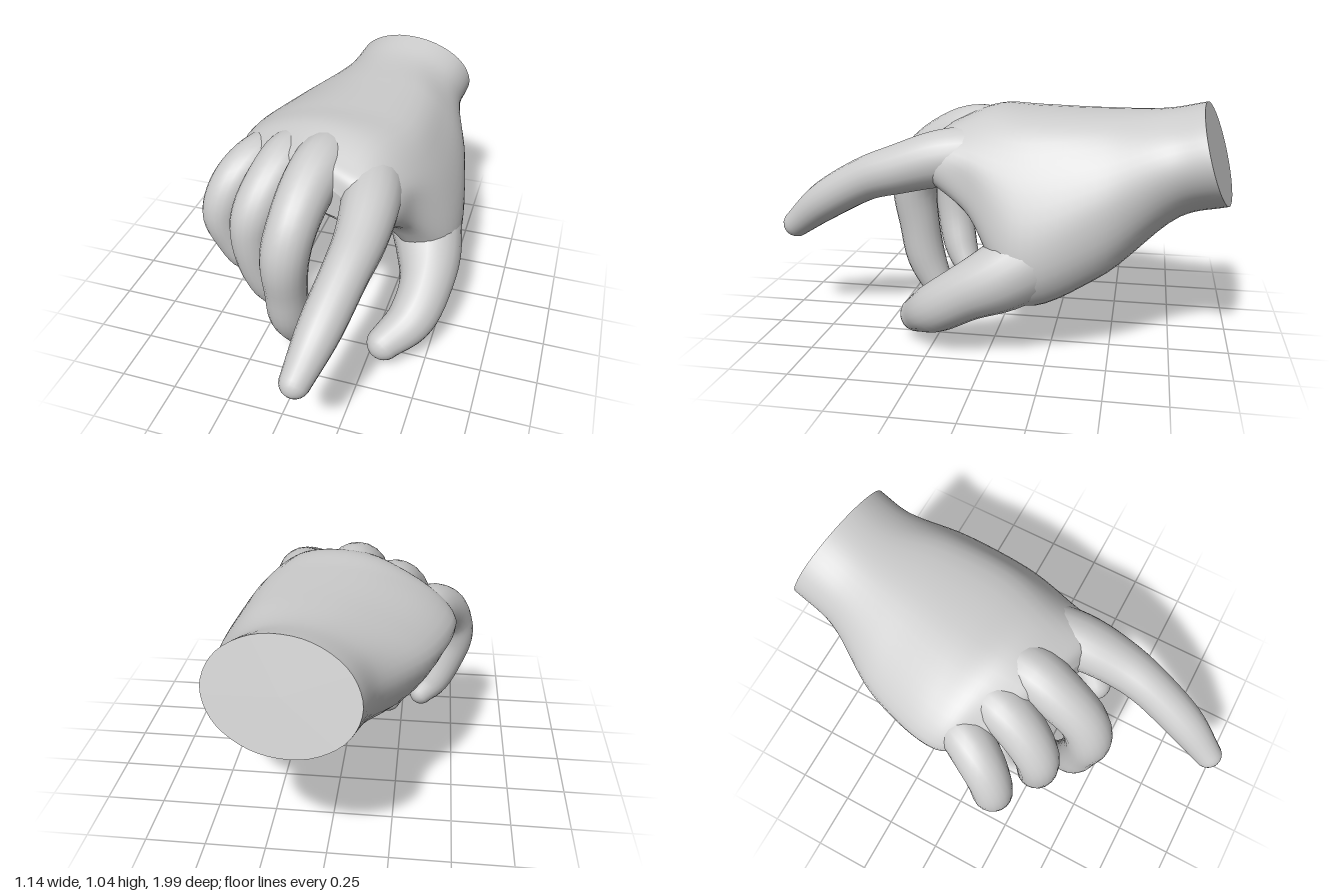
import * as THREE from 'three';

const skin = new THREE.MeshStandardMaterial({ color: 0xcccccc });
const X = new THREE.Vector3(1, 0, 0);

// Skin over a list of rings (each a loop of Vector3), with flat caps on both ends
function loft(name, rings) {
  const n = rings[0].length, last = rings.length - 1;
  const pos = [], index = [];
  rings.forEach(r => r.forEach(p => pos.push(p.x, p.y, p.z)));
  for (let i = 0; i < last; i++) {
    for (let j = 0; j < n; j++) {
      const a = i * n + j, b = i * n + (j + 1) % n;
      index.push(a, a + n, b, b, a + n, b + n);
    }
  }
  for (const end of [0, last]) {
    const start = pos.length / 3, c = new THREE.Vector3();
    rings[end].forEach(p => { c.addScaledVector(p, 1 / n); pos.push(p.x, p.y, p.z); });
    pos.push(c.x, c.y, c.z);
    for (let j = 0; j < n; j++) {
      const a = start + j, b = start + (j + 1) % n;
      if (end === 0) index.push(start + n, a, b);
      else index.push(start + n, b, a);
    }
  }
  const g = new THREE.BufferGeometry();
  g.setAttribute('position', new THREE.Float32BufferAttribute(pos, 3));
  g.setIndex(index);
  g.computeVertexNormals();
  const mesh = new THREE.Mesh(g, skin);
  mesh.name = name;
  return mesh;
}

// Rounded digit along joints given as [x, y, z, radius]
function digit(name, joints, sides = 20, steps = 28) {
  const path = new THREE.CatmullRomCurve3(joints.map(j => new THREE.Vector3(j[0], j[1], j[2])), false, 'catmullrom');
  const size = new THREE.CatmullRomCurve3(joints.map(j => new THREE.Vector3(j[3], 0, 0)), false, 'catmullrom');
  const rings = [];
  const ring = (c, t, r) => {
    const u = new THREE.Vector3().crossVectors(t, X).normalize();
    const v = new THREE.Vector3().crossVectors(u, t);
    rings.push(Array.from({ length: sides }, (_, k) => {
      const a = (k / sides) * Math.PI * 2;
      return c.clone().addScaledVector(u, r * Math.sin(a)).addScaledVector(v, -r * Math.cos(a));
    }));
  };
  for (let i = 0; i <= steps; i++) {
    const t = i / steps;
    ring(path.getPoint(t), path.getTangent(t), size.getPoint(t).x);
  }
  // Fingertip dome
  const tip = path.getPoint(1), dir = path.getTangent(1), r = size.getPoint(1).x;
  for (let k = 1; k <= 6; k++) {
    const a = (k / 6) * 1.53;
    ring(tip.clone().addScaledVector(dir, r * Math.sin(a)), dir, r * Math.cos(a));
  }
  return loft(name, rings);
}

// Cross-section from [x, y] points: starts at the little-finger side, goes over
// the back of the hand and returns under the palm; tilt and shear slant it in z
const section = (z, tilt, shear, pts) =>
  pts.map(([x, y]) => new THREE.Vector3(x, y, z + tilt * (y - 0.83) + shear * (x - 0.13)));

const oval = (cx, cy, rx, ry) => Array.from({ length: 10 }, (_, k) => {
  const a = Math.PI - (k / 10) * Math.PI * 2;
  return [cx + rx * Math.cos(a), cy + ry * Math.sin(a)];
});

function palm(sides = 48, steps = 48) {
  const wrist = section(-0.915, 0.3, 0.15, oval(0.13, 0.83, 0.29, 0.21));
  const narrow = section(-0.73, 0.2, 0.06, oval(0.1, 0.785, 0.305, 0.22));
  const heel = section(-0.45, 0, 0, [[-0.39, 0.74], [-0.28, 0.88], [-0.03, 0.985], [0.25, 0.975], [0.4, 0.85],
    [0.49, 0.66], [0.48, 0.46], [0.37, 0.35], [0.1, 0.45], [-0.25, 0.56]]);
  const thumbMound = section(-0.15, 0, 0.05, [[-0.47, 0.73], [-0.36, 0.88], [-0.08, 0.985], [0.25, 0.965], [0.41, 0.8],
    [0.52, 0.55], [0.53, 0.35], [0.42, 0.24], [0.24, 0.44], [-0.22, 0.6]]);
  const web = section(0.05, 0, 0.2, [[-0.47, 0.73], [-0.37, 0.87], [-0.1, 0.985], [0.18, 0.97], [0.34, 0.84],
    [0.38, 0.72], [0.37, 0.6], [0.27, 0.57], [0.05, 0.61], [-0.28, 0.64]]);
  const knuckles = section(0.2, 0, 0.33, [[-0.42, 0.74], [-0.33, 0.84], [-0.1, 0.945], [0.14, 0.92], [0.27, 0.86],
    [0.32, 0.77], [0.29, 0.69], [0.19, 0.66], [0.02, 0.66], [-0.28, 0.67]]);
  // Rounded webs between the fingers: the knuckle section drawn in and moved forward
  const centre = new THREE.Vector3(-0.03, 0.76, 0.15);
  const drawnIn = (amount, forward) =>
    knuckles.map(p => p.clone().lerp(centre, amount).add(new THREE.Vector3(0, 0, forward)));

  const loops = [wrist, narrow, heel, thumbMound, web, knuckles, drawnIn(0.17, 0.055), drawnIn(0.5, 0.085)]
    .map(points => new THREE.CatmullRomCurve3(points, true, 'catmullrom'));
  const rails = Array.from({ length: sides }, (_, k) =>
    new THREE.CatmullRomCurve3(loops.map(l => l.getPoint(k / sides)), false, 'centripetal'));
  return loft('palmAndWrist', Array.from({ length: steps + 1 }, (_, i) => rails.map(r => r.getPoint(i / steps))));
}

export function createModel() {
  const hand = new THREE.Group();
  hand.name = 'hand';
  hand.add(
    palm(),
    digit('indexFinger', [[0.14, 0.81, -0.1, 0.1], [0.19, 0.8, 0.08, 0.125], [0.22, 0.785, 0.24, 0.122],
      [0.23, 0.735, 0.42, 0.107], [0.215, 0.68, 0.58, 0.095], [0.18, 0.565, 0.78, 0.087], [0.14, 0.44, 0.94, 0.062]]),
    digit('middleFinger', [[0, 0.84, -0.1, 0.1], [-0.02, 0.865, 0.1, 0.12], [-0.045, 0.82, 0.25, 0.115],
      [-0.065, 0.72, 0.385, 0.106], [-0.085, 0.58, 0.44, 0.104], [-0.09, 0.4, 0.425, 0.094],
      [-0.09, 0.23, 0.395, 0.09], [-0.075, 0.065, 0.32, 0.065]]),
    digit('ringFinger', [[-0.14, 0.81, -0.15, 0.09], [-0.19, 0.825, 0.04, 0.115], [-0.235, 0.77, 0.18, 0.108],
      [-0.275, 0.67, 0.275, 0.099], [-0.29, 0.56, 0.3, 0.092], [-0.275, 0.4, 0.29, 0.086],
      [-0.235, 0.26, 0.26, 0.08], [-0.185, 0.15, 0.21, 0.06]]),
    digit('littleFinger', [[-0.28, 0.75, -0.2, 0.08], [-0.35, 0.76, -0.03, 0.105], [-0.42, 0.715, 0.09, 0.1],
      [-0.465, 0.63, 0.16, 0.092], [-0.48, 0.53, 0.18, 0.088], [-0.45, 0.42, 0.17, 0.08], [-0.4, 0.31, 0.15, 0.072],
      [-0.345, 0.25, 0.12, 0.053]]),
    digit('thumb', [[0.25, 0.62, -0.5, 0.13], [0.34, 0.48, -0.28, 0.17], [0.42, 0.36, -0.08, 0.15],
      [0.445, 0.28, 0.08, 0.12], [0.415, 0.19, 0.22, 0.106], [0.325, 0.115, 0.325, 0.078]]),
  );
  return hand;
}
